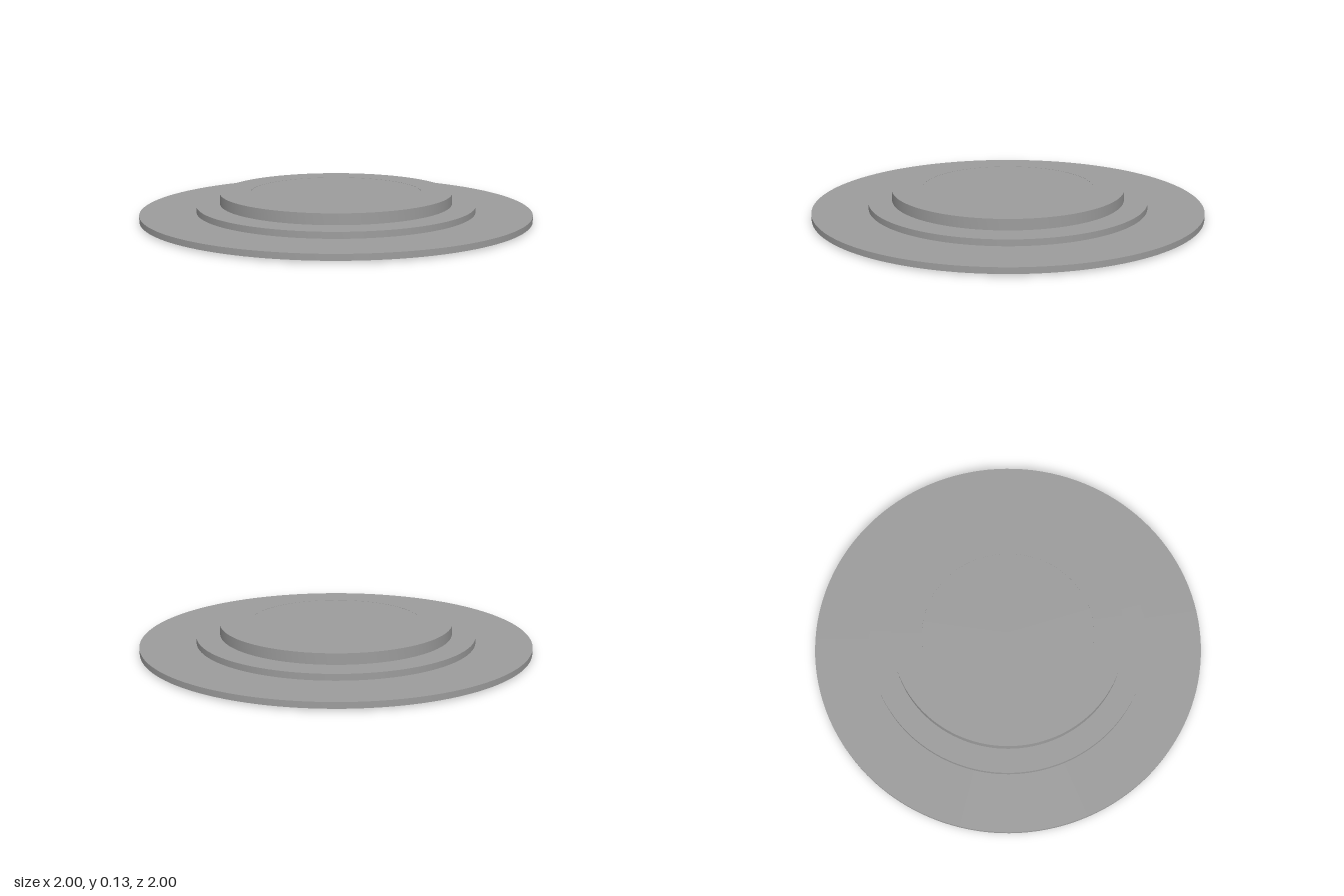
import * as THREE from 'three';
import { toCreasedNormals } from 'three/addons/utils/BufferGeometryUtils.js';

const material = new THREE.MeshStandardMaterial({ color: 0x9d9d9d, side: THREE.DoubleSide });

// Round part turned from a [radius, height] profile, open underneath
function turned(name, profile) {
  const points = profile.map(([x, y]) => new THREE.Vector2(x, y));
  const geometry = toCreasedNormals(new THREE.LatheGeometry(points, 128), Math.PI / 6);
  const mesh = new THREE.Mesh(geometry, material);
  mesh.name = name;
  return mesh;
}

export function createModel() {
  const group = new THREE.Group();
  group.name = 'steppedDisc';
  group.add(
    turned('baseFlange', [[1, 0.008], [1, 0.038], [0, 0.038]]),
    turned('middleStep', [[0.715, 0], [0.715, 0.07], [0, 0.07]]),
    // Upper step floats a hair above the middle one and has a very shallow recess on top
    turned('upperStep', [[0.595, 0.075], [0.595, 0.13], [0.44, 0.13], [0.44, 0.129], [0, 0.129]]),
  );
  return group;
}
